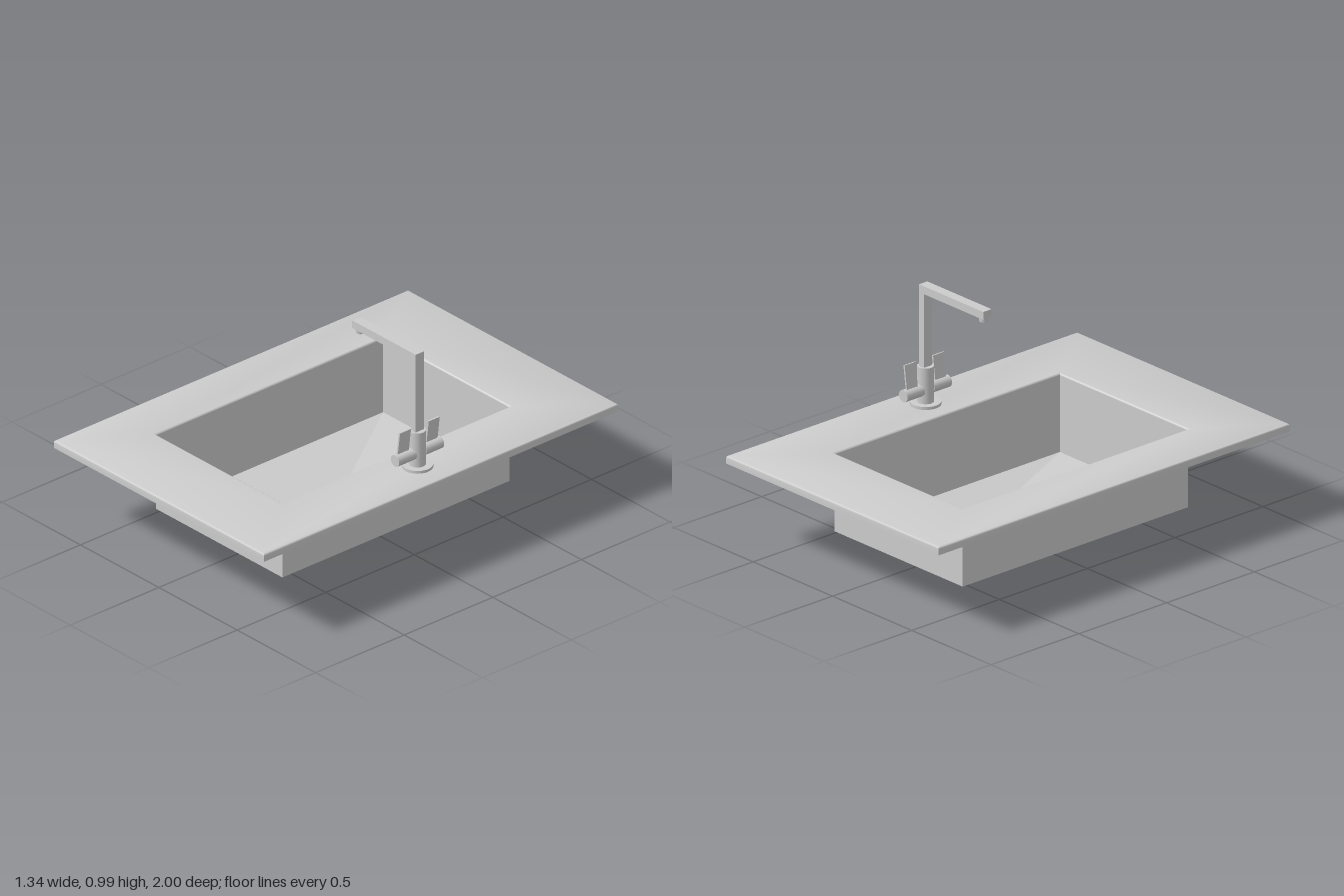
import * as THREE from 'three';
import { toCreasedNormals } from 'three/addons/utils/BufferGeometryUtils.js';

const solid = new THREE.MeshStandardMaterial({ color: 0xcccccc });
const sheet = new THREE.MeshStandardMaterial({ color: 0xcccccc, side: THREE.DoubleSide });

// Sheet joining a series of rectangles [x0, x1, z0, z1, y]
function loftRects(rects, crease = 0.6) {
  const pos = [];
  const corners = ([x0, x1, z0, z1, y]) => [[x0, y, z0], [x0, y, z1], [x1, y, z1], [x1, y, z0]];
  for (let i = 0; i < rects.length - 1; i++) {
    const a = corners(rects[i]), b = corners(rects[i + 1]);
    for (let k = 0; k < 4; k++) {
      const n = (k + 1) % 4;
      pos.push(...a[k], ...a[n], ...b[n], ...a[k], ...b[n], ...b[k]);
    }
  }
  const g = new THREE.BufferGeometry();
  g.setAttribute('position', new THREE.Float32BufferAttribute(pos, 3));
  return toCreasedNormals(g, crease);
}

function createModel() {
  const model = new THREE.Group();
  model.name = 'sink';
  const add = (name, geometry, x = 0, y = 0, z = 0, material = solid, parent = model) => {
    const m = new THREE.Mesh(geometry, material);
    m.name = name;
    m.position.set(x, y, z);
    parent.add(m);
    return m;
  };

  // Countertop rim: skirt, rounded outer edge, flat top, rounded lip at the opening
  const rim = [[-0.67, 0.67, -1, 1, 0.398]];
  for (let i = 0; i <= 4; i++) {
    const a = (i / 4) * Math.PI / 2, d = 0.01 * (1 - Math.cos(a));
    rim.push([-0.67 + d, 0.67 - d, -1 + d, 1 - d, 0.425 + 0.01 * Math.sin(a)]);
  }
  for (let i = 0; i <= 4; i++) {
    const a = (i / 4) * Math.PI / 2, d = 0.008 * Math.sin(a);
    rim.push([-0.432 + d, 0.391 - d, -0.649 + d, 0.649 - d, 0.427 + 0.008 * Math.cos(a)]);
  }
  add('rim', loftRects(rim), 0, 0, 0, sheet);

  // Basin walls, sloping floor and sunken drain
  add('basin', loftRects([
    [-0.424, 0.383, -0.641, 0.641, 0.427],
    [-0.424, 0.383, -0.641, 0.641, 0.075],
    [-0.117, 0.203, -0.157, 0.157, 0.03],
    [-0.08, 0.166, -0.122, 0.122, 0.007],
    [0.043, 0.043, 0, 0, 0],
  ], 0.03), 0, 0, 0, sheet);

  // Tap
  const tap = new THREE.Group();
  tap.name = 'tap';
  tap.position.set(0.52, 0, 0);
  model.add(tap);
  const part = (name, g, x, y, z) => add(name, g, x, y, z, solid, tap);
  part('tapBase', new THREE.CylinderGeometry(0.067, 0.067, 0.014, 32), 0, 0.441, 0);
  part('tapBody', new THREE.CylinderGeometry(0.036, 0.036, 0.165, 32), 0, 0.529, 0);
  part('spoutColumn', new THREE.BoxGeometry(0.03, 0.376, 0.047), 0, 0.797, 0);
  part('spoutArm', new THREE.BoxGeometry(0.405, 0.036, 0.047), -0.1875, 0.968, 0);
  part('spoutNozzle', new THREE.CylinderGeometry(0.02, 0.018, 0.022, 24), -0.366, 0.941, 0);

  // Mirrored valves, each with a thin leaning lever
  for (const s of [-1, 1]) {
    const valve = part('valve', new THREE.CylinderGeometry(0.027, 0.027, 0.1, 24), 0, 0.506, s * 0.077);
    valve.rotation.x = Math.PI / 2;
    const lever = part('lever', new THREE.BoxGeometry(0.008, 0.13, 0.062), 0.003, 0.575, s * 0.081);
    lever.rotation.z = -0.13;
  }
  return model;
}

export { createModel };
